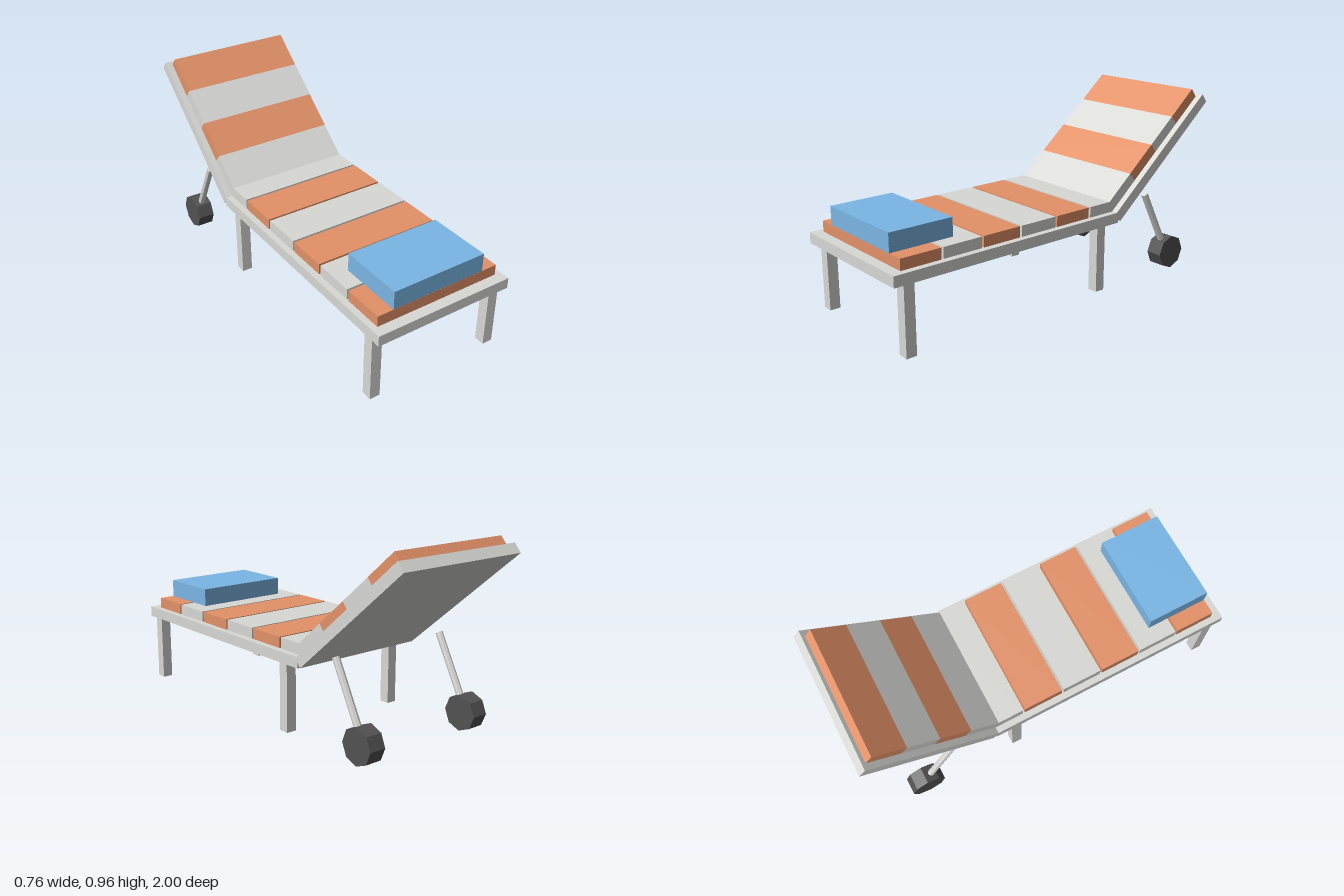
import * as THREE from 'three';

const material = (name, color, flatShading = false) => {
  const m = new THREE.MeshStandardMaterial({ color, flatShading });
  m.name = name;
  return m;
};

export function createModel() {
  const pale = material('paleGrey', 0xd8d8d5, true);
  const orange = material('orange', 0xe39168, true);
  const blue = material('blue', 0x7ab6e5, true);
  const dark = material('darkRubber', 0x525252, true);

  const lounger = new THREE.Group();
  lounger.name = 'sunLounger';

  const add = (parent, name, geometry, mat, x, y, z) => {
    const mesh = new THREE.Mesh(geometry, mat);
    mesh.name = name;
    mesh.position.set(x, y, z);
    parent.add(mesh);
    return mesh;
  };
  const box = (parent, name, mat, w, h, d, x, y, z) =>
    add(parent, name, new THREE.BoxGeometry(w, h, d), mat, x, y, z);

  // Flat bed frame
  box(lounger, 'bedFrame', pale, 0.734, 0.054, 1.337, 0, 0.37, 0.3315);

  // Six seat cushions with narrow gaps, alternating colours
  for (let i = 0; i < 6; i++) {
    box(lounger, 'seatCushion', i % 2 ? pale : orange,
      0.668, 0.055, 0.212, 0, 0.4245, 0.839 - i * 0.2232);
  }

  // Folded towel at the foot end
  box(lounger, 'towel', blue, 0.5, 0.093, 0.335, 0, 0.4985, 0.777);

  // Tilted backrest: panel with four touching cushion strips
  const backrest = new THREE.Group();
  backrest.name = 'backrest';
  backrest.position.set(0, 0.64, -0.66);
  backrest.rotation.x = THREE.MathUtils.degToRad(40);
  lounger.add(backrest);
  box(backrest, 'backPanel', pale, 0.734, 0.055, 0.84, 0, 0, 0);
  for (let i = 0; i < 4; i++) {
    box(backrest, 'backCushion', i % 2 ? orange : pale,
      0.668, 0.055, 0.2, 0, 0.055, 0.3 - i * 0.2);
  }

  // Legs, wheel struts and wheels on both sides
  const strutTop = new THREE.Vector3(0, 0.445, -0.567);
  const hub = new THREE.Vector3(0, 0.09, -0.752);
  const along = strutTop.clone().sub(hub);
  for (const side of [1, -1]) {
    const x = side * 0.335;
    for (const z of [0.922, -0.223]) {
      box(lounger, 'leg', pale, 0.054, 0.344, 0.054, x, 0.172, z);
    }
    const mid = strutTop.clone().add(hub).multiplyScalar(0.5);
    const strut = add(lounger, 'wheelStrut',
      new THREE.CylinderGeometry(0.018, 0.018, along.length(), 8), pale, x, mid.y, mid.z);
    strut.quaternion.setFromUnitVectors(new THREE.Vector3(0, 1, 0), along.clone().normalize());
    const wheel = add(lounger, 'wheel',
      new THREE.CylinderGeometry(0.09, 0.09, 0.088, 8), dark, x, hub.y, hub.z);
    wheel.rotation.z = Math.PI / 2;
  }

  return lounger;
}
